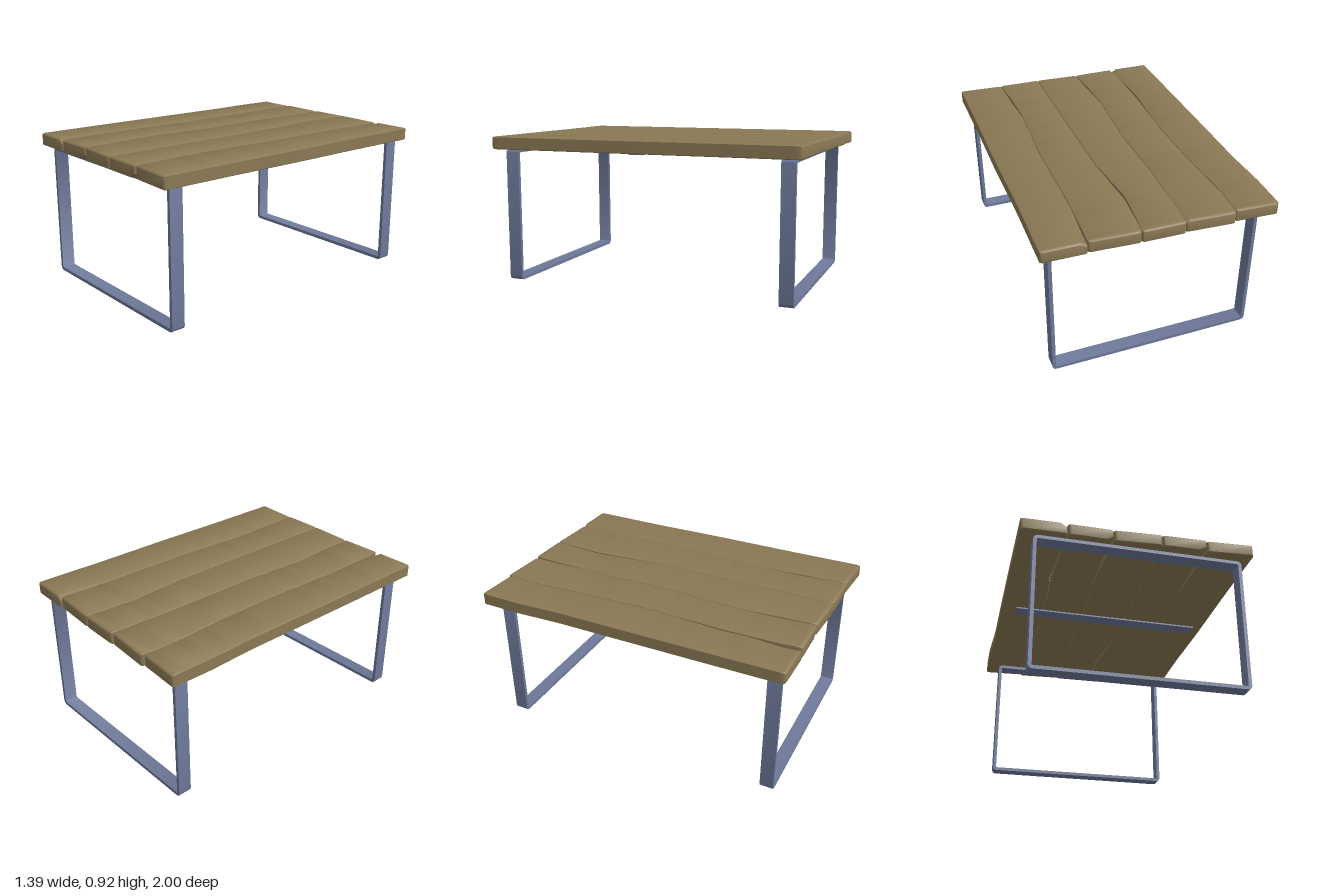
import * as THREE from 'three';
import { toCreasedNormals } from 'three/addons/utils/BufferGeometryUtils.js';

const BOTTOM = 0.838, TOP = 0.917;
const { lerp, smoothstep } = THREE.MathUtils;

// Each wavy line between planks: [z, x] points, plus where it opens up
const SEAMS = [
  { pts: [[-1, -0.695], [-0.75, -0.7], [-0.45, -0.69], [0, -0.693], [0.5, -0.695], [0.97, -0.695]], edge: true },
  { pts: [[-1, -0.43], [-0.78, -0.44], [-0.4, -0.42], [0, -0.415], [0.3, -0.428], [0.5, -0.44], [0.8, -0.432], [0.97, -0.42]], open: 0.5, span: 0.35 },
  { pts: [[-0.98, -0.132], [-0.7, -0.142], [-0.4, -0.15], [0, -0.145], [0.25, -0.16], [0.5, -0.175], [0.75, -0.163], [0.97, -0.15]], open: 0.75, span: 0.25 },
  { pts: [[-0.98, 0.128], [-0.85, 0.115], [-0.65, 0.1], [-0.45, 0.118], [-0.25, 0.135], [0, 0.137], [0.97, 0.138]], open: -0.6, span: 0.35 },
  { pts: [[-0.97, 0.43], [-0.6, 0.416], [0, 0.415], [0.25, 0.4], [0.5, 0.388], [0.75, 0.398], [0.98, 0.41]], open: 0.7, span: 0.25 },
  { pts: [[-0.97, 0.695], [-0.5, 0.69], [0, 0.695], [0.5, 0.692], [0.99, 0.695]], edge: true },
];

// Plank ends: z at the [left, right] side of the back and front; chips are worn edges
const PLANKS = [
  { back: [-1, -0.985], front: [0.965, 0.968], chips: [{ side: 'rt', end: 1 }] },
  { back: [-1, -0.982], front: [0.967, 0.965], chips: [{ side: 'rb', end: 1 }, { side: 'rt', end: -1, size: 0.012 }] },
  { back: [-0.99, -0.985], front: [0.965, 0.98], chips: [] },
  { back: [-0.985, -0.968], front: [0.98, 0.985], chips: [{ side: 'rb', end: 1 }] },
  { back: [-0.975, -0.97], front: [0.98, 0.997], chips: [{ side: 'lt', end: -1 }] },
];

// Smooth interpolation of a seam's x at a given z
function seamX(seam, z) {
  const p = seam.pts;
  if (z <= p[0][0]) return p[0][1];
  for (let i = 1; i < p.length; i++) {
    if (z <= p[i][0]) return lerp(p[i - 1][1], p[i][1], smoothstep(z, p[i - 1][0], p[i][0]) * 0.5 + (z - p[i - 1][0]) / (p[i][0] - p[i - 1][0]) * 0.5);
  }
  return p[p.length - 1][1];
}

function halfGap(seam, z) {
  if (seam.edge) return 0;
  const k = Math.max(0, 1 - Math.abs(z - seam.open) / seam.span);
  return 0.0015 + 0.005 * k;
}

// A plank lofted from chamfered eight-sided sections along z
function plankGeometry(left, right, plank) {
  const rows = [[0, 0.012], [0.002, 0.005], [0.007, 0]];
  const N = 48;
  for (let i = 1; i < N; i++) rows.push([i / N, 0]);
  rows.push([0.993, 0], [0.998, 0.005], [1, 0.012]);

  const pos = [], index = [];
  for (const [t, inset] of rows) {
    const z = lerp(plank.back[0], plank.front[0], t);
    const xl = seamX(left, z) + halfGap(left, z) + inset;
    const xr = seamX(right, z) - halfGap(right, z) - inset;
    const b = BOTTOM + inset * 0.7, h = TOP - inset * 0.7;
    const cut = { lt: 0.007, rt: 0.007, lb: 0.007, rb: 0.007 };
    for (const c of plank.chips) cut[c.side] += (c.size ?? 0.032) * smoothstep(z * c.end, 0.62, 0.9);
    const ring = [
      [xl + cut.lb, b], [xr - cut.rb, b], [xr, b + cut.rb * 0.65], [xr, h - cut.rt * 0.65],
      [xr - cut.rt, h], [xl + cut.lt, h], [xl, h - cut.lt * 0.65], [xl, b + cut.lb * 0.65],
    ];
    for (const [x, y] of ring) {
      const u = (x - xl) / (xr - xl);
      pos.push(x, y, lerp(lerp(...plank.back, u), lerp(...plank.front, u), t));
    }
  }
  const last = (rows.length - 1) * 8;
  for (let r = 0; r < last; r += 8) {
    for (let k = 0; k < 8; k++) {
      const a = r + k, b = r + (k + 1) % 8;
      index.push(a, b, b + 8, a, b + 8, a + 8);
    }
  }
  for (let k = 1; k < 7; k++) {
    index.push(0, k + 1, k, last, last + k, last + k + 1);
  }
  const g = new THREE.BufferGeometry();
  g.setAttribute('position', new THREE.Float32BufferAttribute(pos, 3));
  g.setIndex(index);
  return toCreasedNormals(g, 0.6);
}

// Rounded rectangle outline
function roundedRect(path, x0, y0, x1, y1, r) {
  path.moveTo(x0 + r, y0);
  path.lineTo(x1 - r, y0);
  path.absarc(x1 - r, y0 + r, r, -Math.PI / 2, 0);
  path.lineTo(x1, y1 - r);
  path.absarc(x1 - r, y1 - r, r, 0, Math.PI / 2);
  path.lineTo(x0 + r, y1);
  path.absarc(x0 + r, y1 - r, r, Math.PI / 2, Math.PI);
  path.lineTo(x0, y0 + r);
  path.absarc(x0 + r, y0 + r, r, Math.PI, Math.PI * 1.5);
  return path;
}

export function createModel() {
  const model = new THREE.Group();
  model.name = 'table';
  const wood = new THREE.MeshStandardMaterial({ color: 0x8b7955 });
  const steel = new THREE.MeshStandardMaterial({ color: 0x6f7a9b });

  // Table top
  const top = new THREE.Group();
  top.name = 'tableTop';
  PLANKS.forEach((plank, i) => {
    const mesh = new THREE.Mesh(plankGeometry(SEAMS[i], SEAMS[i + 1], plank), wood);
    mesh.name = `plank${i + 1}`;
    top.add(mesh);
  });
  model.add(top);

  // Flat-bar leg frames
  const shape = roundedRect(new THREE.Shape(), -0.613, 0, 0.643, BOTTOM, 0.026);
  shape.holes.push(roundedRect(new THREE.Path(), -0.592, 0.021, 0.622, BOTTOM - 0.021, 0.007));
  const frame = toCreasedNormals(new THREE.ExtrudeGeometry(shape, { depth: 0.085, bevelEnabled: false, curveSegments: 6 }), 0.6);
  for (const [name, z] of [['frontLegFrame', 0.84], ['backLegFrame', -0.925]]) {
    const leg = new THREE.Mesh(frame, steel);
    leg.name = name;
    leg.position.z = z;
    model.add(leg);
  }

  // Brace under the planks
  const brace = new THREE.Mesh(new THREE.BoxGeometry(1.23, 0.012, 0.088), steel);
  brace.name = 'crossBrace';
  brace.position.set(0.015, BOTTOM - 0.004, 0.04);
  model.add(brace);

  return model;
}
